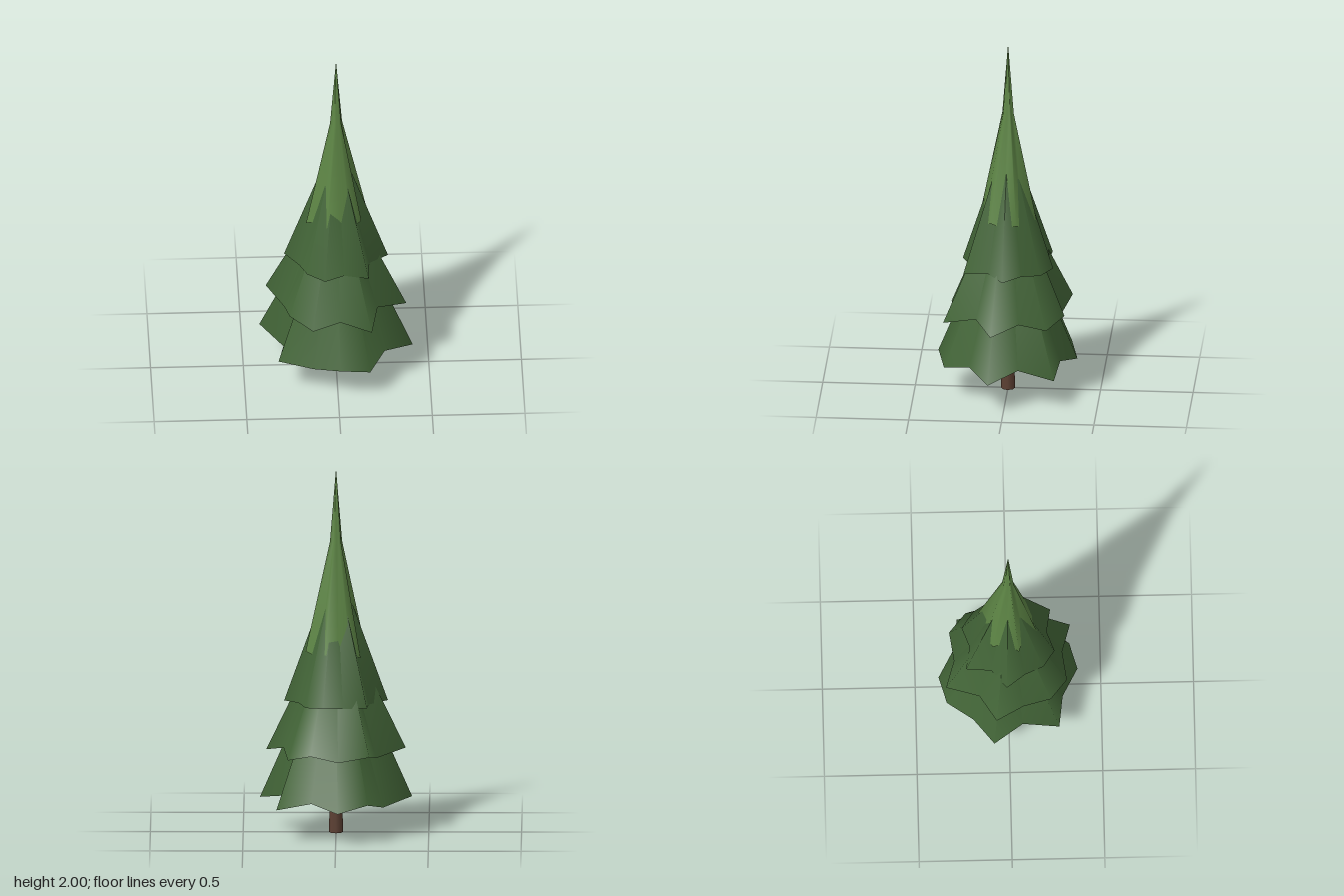
import * as THREE from 'three';

const SIDES = 14;

// One skirt of branches: a six-lobed star sampled at 14 corners, shrinking up to a point.
// rings holds [height, scale]; the hem zigzags up and down by jag.
function branchTier({ radius, offset, phase, jag, rings }) {
  const positions = [], index = [];
  const rad = THREE.MathUtils.degToRad;
  rings.forEach(([y, scale], level) => {
    for (let i = 0; i < SIDES; i++) {
      const turn = (i / SIDES) * Math.PI * 2;
      const angle = turn + rad(offset);
      const r = radius * scale * (1 + 0.18 * Math.cos(6 * turn + rad(phase)));
      const dy = level === 0 ? (i % 2 ? jag : -jag) : 0;
      positions.push(r * Math.cos(angle), y + dy, r * Math.sin(angle));
    }
  });
  for (let level = 0; level < rings.length - 1; level++) {
    const last = level === rings.length - 2;
    for (let i = 0; i < SIDES; i++) {
      const a = level * SIDES + i;
      const b = level * SIDES + ((i + 1) % SIDES);
      index.push(a, a + SIDES, b);
      if (!last) index.push(b, a + SIDES, b + SIDES);
    }
  }
  const geometry = new THREE.BufferGeometry();
  geometry.setAttribute('position', new THREE.Float32BufferAttribute(positions, 3));
  geometry.setIndex(index);
  geometry.computeVertexNormals();
  return geometry;
}

export function createModel() {
  const group = new THREE.Group();
  group.name = 'pineTree';

  const bark = new THREE.MeshStandardMaterial({ name: 'bark brown', color: 0x5c4033 });
  const darkGreen = new THREE.MeshStandardMaterial({
    name: 'dark needle green', color: 0x426437, side: THREE.DoubleSide });
  const lightGreen = new THREE.MeshStandardMaterial({
    name: 'light needle green', color: 0x5d8545, side: THREE.DoubleSide });

  // Tapered trunk
  const trunk = new THREE.Mesh(new THREE.CylinderGeometry(0.018, 0.038, 0.9, 8), bark);
  trunk.name = 'trunk';
  trunk.position.y = 0.45;
  group.add(trunk);

  // Branch tiers from the ground up; the top one ends in a thin spire
  const tiers = [
    { name: 'bottomBranches', material: darkGreen, radius: 0.36, offset: 11.3, phase: -25.7,
      jag: 0.02, rings: [[0.195, 1], [1.13, 0]] },
    { name: 'middleBranches', material: darkGreen, radius: 0.329, offset: 10.4, phase: 25.7,
      jag: 0.02, rings: [[0.46, 1], [1.24, 0]] },
    { name: 'upperBranches', material: darkGreen, radius: 0.243, offset: 2.5, phase: 33,
      jag: 0.004, rings: [[0.725, 1], [1.5, 0]] },
    { name: 'topBranches', material: lightGreen, radius: 0.147, offset: 7, phase: 140,
      jag: 0.015, rings: [[0.99, 1], [1.6, 0.2], [2, 0]] },
  ];
  for (const tier of tiers) {
    const mesh = new THREE.Mesh(branchTier(tier), tier.material);
    mesh.name = tier.name;
    group.add(mesh);
  }
  return group;
}
